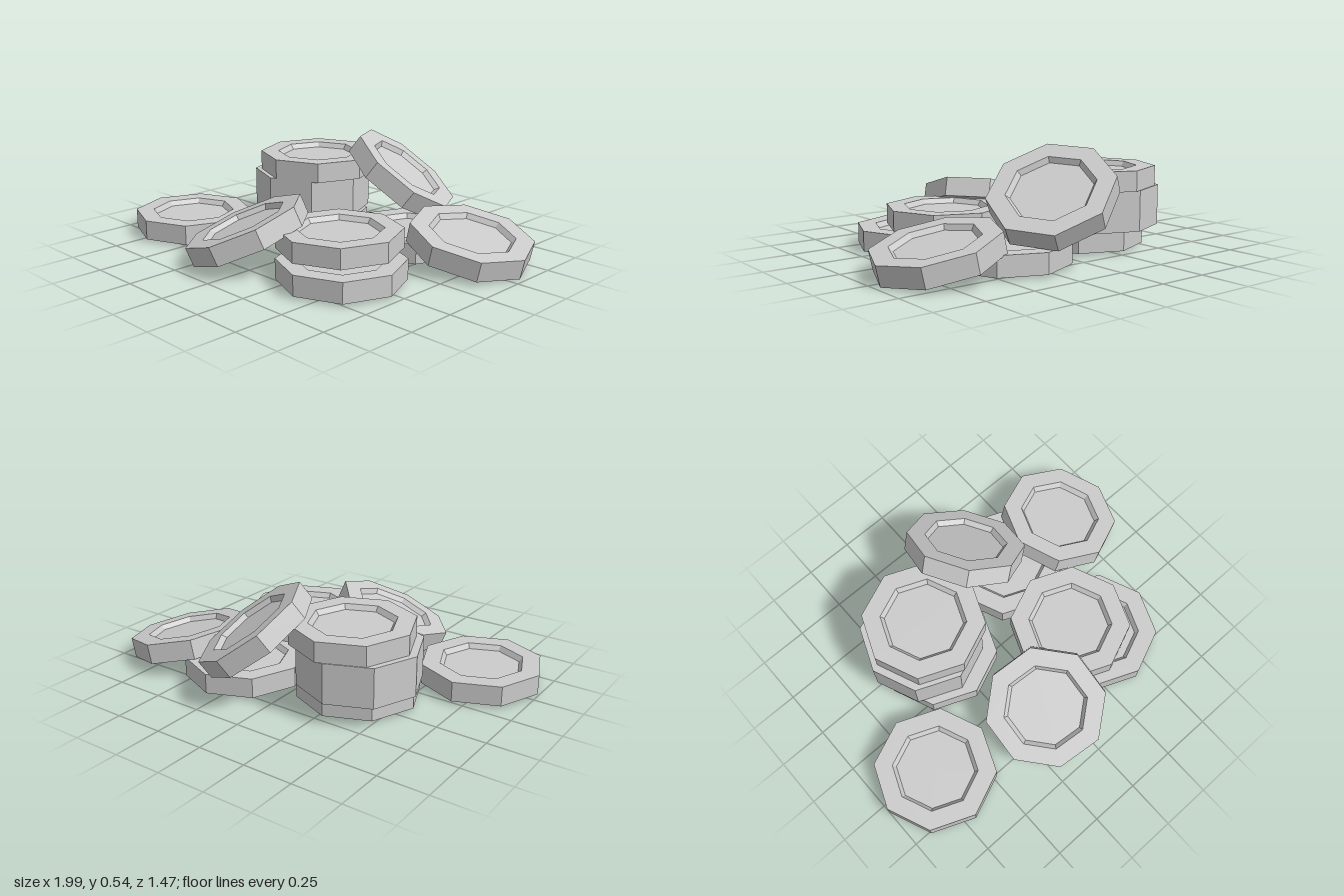
import * as THREE from 'three';

const RADIUS = 0.305, HALF = 0.05;   // coin outer radius and half thickness
const RIM = 0.213, FLOOR = 0.195;    // recess radius at the rim and at its floor
const DEPTH = 0.025;                 // recess depth on both faces

// Eight-sided coin with a bevelled recess on each face
function coinGeometry() {
  const profile = [
    [0, -HALF + DEPTH], [FLOOR, -HALF + DEPTH], [RIM, -HALF], [RADIUS, -HALF],
    [RADIUS, HALF], [RIM, HALF], [FLOOR, HALF - DEPTH], [0, HALF - DEPTH],
  ].map(([r, y]) => new THREE.Vector2(r, y));
  return new THREE.LatheGeometry(profile, 8);
}

// Flat coins: name and centre
const flatCoins = [
  ['looseCoin', -0.695, 0.065, 0.295],
  ['backStackBottomCoin', -0.28, 0.065, -0.175],
  ['backStackLowerCoin', -0.325, 0.165, -0.235],
  ['backStackUpperCoin', -0.325, 0.265, -0.235],
  ['backStackTopCoin', -0.29, 0.365, -0.245],
  ['frontStackBottomCoin', 0.41, 0.065, 0.295],
  ['frontStackTopCoin', 0.3, 0.165, 0.195],
  ['buriedCoin', 0.31, 0.065, -0.31],
];

// Leaning coins: name, centre, face normal, direction from centre to one corner
const leaningCoins = [
  ['sideLeaningCoin', [0.686, 0.119, -0.307], [0.221, 0.975, 0], [0, 0, 1]],
  ['frontLeaningCoin', [-0.085, 0.168, 0.433], [-0.306, 0.921, 0.24], [0.275, 0.111, -0.075]],
  ['backLeaningCoin', [0.138, 0.327, -0.436], [0.502, 0.806, -0.313], [-0.048, -0.082, -0.288]],
];

export function createModel() {
  const group = new THREE.Group();
  group.name = 'coinPile';
  const geometry = coinGeometry();
  const material = new THREE.MeshStandardMaterial({ color: 0xcccccc, flatShading: true });

  const addCoin = (name, centre) => {
    const coin = new THREE.Mesh(geometry, material);
    coin.name = name;
    coin.position.set(...centre);
    group.add(coin);
    return coin;
  };

  for (const [name, ...centre] of flatCoins) addCoin(name, centre);

  for (const [name, centre, normal, corner] of leaningCoins) {
    const y = new THREE.Vector3(...normal).normalize();
    const z = new THREE.Vector3(...corner).projectOnPlane(y).normalize();
    const x = new THREE.Vector3().crossVectors(y, z);
    addCoin(name, centre).quaternion.setFromRotationMatrix(new THREE.Matrix4().makeBasis(x, y, z));
  }
  return group;
}
